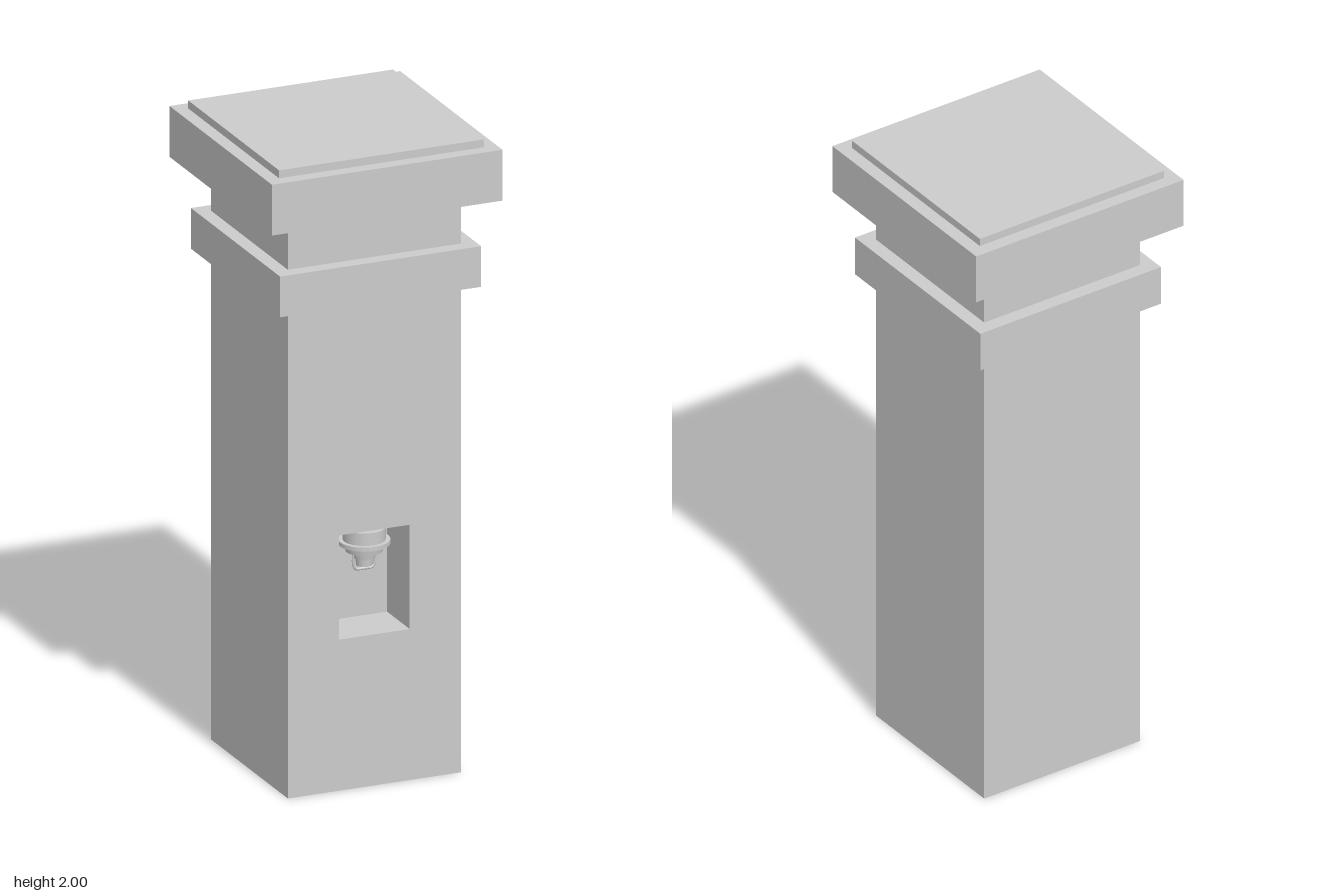
import * as THREE from 'three';

const material = new THREE.MeshStandardMaterial({ color: 0xcccccc, side: THREE.DoubleSide });
const flat = new THREE.MeshStandardMaterial({ color: 0xcccccc, side: THREE.DoubleSide, flatShading: true });

const HALF = 0.28;                                       // half width of the shaft
const SHAFT_TOP = 1.535;
const NICHE = { half: 0.114, bottom: 0.475, top: 0.803, depth: 0.165 };

function add(parent, name, geometry, mat = material) {
  const mesh = new THREE.Mesh(geometry, mat);
  mesh.name = name;
  parent.add(mesh);
  return mesh;
}

// Rectangle in the xy plane, usable as a shape or as a hole
function rect(PathClass, half, bottom, top) {
  return new PathClass([
    new THREE.Vector2(-half, bottom), new THREE.Vector2(half, bottom),
    new THREE.Vector2(half, top), new THREE.Vector2(-half, top),
  ]);
}

function lathe(points, segments, start = 0) {
  return new THREE.LatheGeometry(points.map(([r, y]) => new THREE.Vector2(r, y)), segments, start);
}

// Hollow square shaft, open at the foot; the front wall has the niche opening
function createShaft() {
  const shaft = new THREE.Group();
  shaft.name = 'shaft';
  for (let i = 0; i < 4; i++) {
    const shape = rect(THREE.Shape, HALF, 0, SHAFT_TOP);
    if (i === 0) shape.holes.push(rect(THREE.Path, NICHE.half, NICHE.bottom, NICHE.top));
    const geometry = new THREE.ShapeGeometry(shape);
    geometry.translate(0, 0, HALF).rotateY(i * Math.PI / 2);
    add(shaft, ['frontWall', 'leftWall', 'backWall', 'rightWall'][i], geometry);
  }
  return shaft;
}

// Recess lining: back, two sides, floor and ceiling
function createNiche() {
  const niche = new THREE.Group();
  niche.name = 'niche';
  const { half, bottom, top, depth } = NICHE;
  const height = top - bottom;
  niche.position.set(0, (top + bottom) / 2, HALF - depth / 2);
  add(niche, 'nicheBack', new THREE.PlaneGeometry(2 * half, height)).position.z = -depth / 2;
  for (const s of [-1, 1]) {
    const side = add(niche, 'nicheSide', new THREE.PlaneGeometry(depth, height));
    side.position.x = s * half;
    side.rotation.y = -s * Math.PI / 2;
    const level = add(niche, s < 0 ? 'nicheFloor' : 'nicheCeiling', new THREE.PlaneGeometry(2 * half, depth));
    level.position.y = s * height / 2;
    level.rotation.x = s * Math.PI / 2;
  }
  return niche;
}

// Small stepped fitting hanging from the niche ceiling
function createFitting() {
  const fitting = new THREE.Group();
  fitting.name = 'fitting';
  fitting.position.z = 0.205;
  const discs = [
    ['neck', 0.04, 0.04, 0.788, 0.803],
    ['drum', 0.064, 0.064, 0.75, 0.79],
    ['flange', 0.078, 0.078, 0.738, 0.751],
    ['lowerDrum', 0.06, 0.056, 0.716, 0.739],
    ['socket', 0.038, 0.034, 0.695, 0.717],
    ['nozzle', 0.026, 0.024, 0.67, 0.696],
  ];
  for (const [name, rTop, rBottom, y0, y1] of discs) {
    add(fitting, name, new THREE.CylinderGeometry(rTop, rBottom, y1 - y0, 32)).position.y = (y0 + y1) / 2;
  }
  // U-shaped guard below the socket
  const path = new THREE.CatmullRomCurve3([
    [-0.034, 0.712], [-0.034, 0.675], [-0.027, 0.661], [0, 0.659],
    [0.027, 0.661], [0.034, 0.675], [0.034, 0.712],
  ].map(([x, y]) => new THREE.Vector3(x, y, 0)));
  add(fitting, 'guard', new THREE.TubeGeometry(path, 32, 0.005, 8));
  return fitting;
}

export function createModel() {
  const model = new THREE.Group();
  model.name = 'pillar';
  model.add(createShaft(), createNiche(), createFitting());

  // Square mouldings as four-sided lathes: half widths scaled to corner radii
  const moulding = (name, profile) =>
    add(model, name, lathe(profile.map(([w, y]) => [w * Math.SQRT2, y]), 4, Math.PI / 4).toNonIndexed(), flat);
  moulding('collar', [[HALF, SHAFT_TOP], [0.325, SHAFT_TOP], [0.325, 1.663], [HALF, 1.663]]);
  moulding('neckBand', [[HALF, 1.663], [HALF, 1.815]]);
  moulding('cap', [[HALF, 1.815], [0.373, 1.815], [0.373, 1.975], [0.331, 1.975]]);
  moulding('capTop', [[0.331, 1.975], [0.331, 2], [0, 2]]);
  return model;
}
